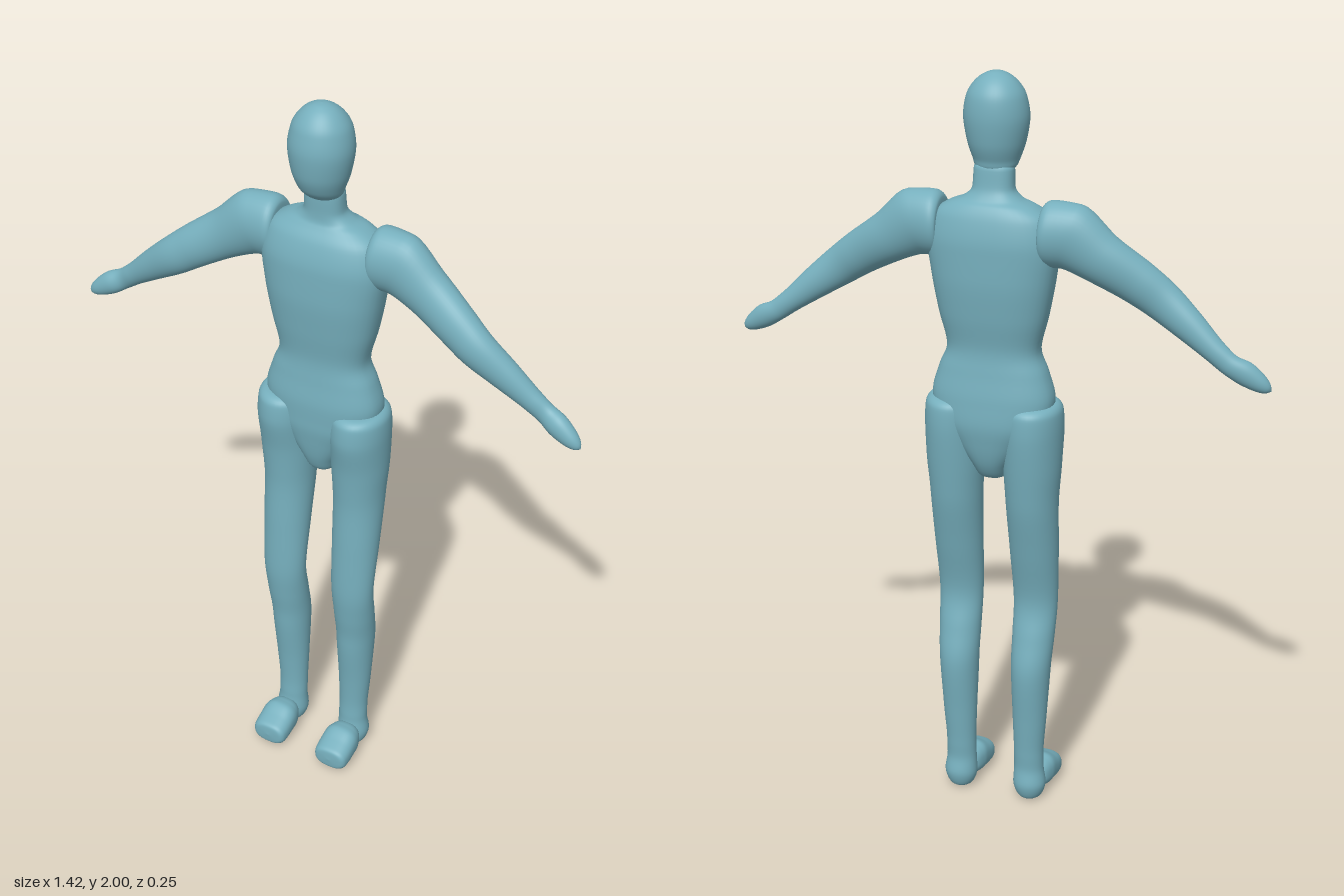
import * as THREE from 'three';

// Monotone cubic interpolation of one column of the section table
function sample(rows, col, t) {
  const last = rows.length - 1;
  const i = Math.min(Math.floor(t), last - 1), f = t - i;
  const v = k => rows[k][col];
  const slope = k => {
    if (k === 0 || k === last) return k ? v(k) - v(k - 1) : v(1) - v(0);
    const a = v(k) - v(k - 1), b = v(k + 1) - v(k);
    return a * b <= 0 ? 0 : (2 * a * b) / (a + b);
  };
  const f2 = f * f, f3 = f2 * f;
  return (2 * f3 - 3 * f2 + 1) * v(i) + (f3 - 2 * f2 + f) * slope(i)
    + (3 * f2 - 2 * f3) * v(i + 1) + (f3 - f2) * slope(i + 1);
}

// Skin rounded sections. Row: centre x, y, z, half-size along u, half-size along v, tilt.
// axes(tilt) gives u and v, with u x v pointing along the loft. side = -1 mirrors in x.
function loft(rows, axes, side = 1, power = 2) {
  const steps = 6, seg = 40, rings = (rows.length - 1) * steps;
  const pos = [], index = [];
  const round = c => Math.sign(c) * Math.abs(c) ** (2 / power);
  for (let i = 0; i <= rings; i++) {
    const [x, y, z, a, b, tilt] = [0, 1, 2, 3, 4, 5].map(c => sample(rows, c, i / steps));
    const [u, v] = axes(tilt);
    for (let j = 0; j < seg; j++) {
      const th = (j / seg) * Math.PI * 2;
      const p = new THREE.Vector3(x, y, z)
        .addScaledVector(u, a * round(Math.cos(th)))
        .addScaledVector(v, b * round(Math.sin(th)));
      pos.push(p.x * side, p.y, p.z);
      if (i === rings) continue;
      const k = (j + 1) % seg;
      const A = i * seg + j, B = i * seg + k, C = B + seg, D = A + seg;
      if (side > 0) index.push(A, B, C, A, C, D);
      else index.push(A, C, B, A, D, C);
    }
  }
  const g = new THREE.BufferGeometry();
  g.setAttribute('position', new THREE.Float32BufferAttribute(pos, 3));
  g.setIndex(index);
  g.computeVertexNormals();
  return g;
}

const X = new THREE.Vector3(1, 0, 0), Y = new THREE.Vector3(0, 1, 0), Z = new THREE.Vector3(0, 0, 1);
const upright = () => [Z, X];
const forward = () => [X, Y];
const sideways = t => [Z, new THREE.Vector3(-Math.sin(t), -Math.cos(t), 0)];

// Upright section: height, centre x, half-width, back z, front z
const level = ([y, cx, w, back, front]) => [cx, y, (back + front) / 2, (front - back) / 2, w, 0];

export function createModel() {
  const model = new THREE.Group();
  model.name = 'mannequin';
  const skin = new THREE.MeshStandardMaterial({ color: 0x76afbd });
  skin.name = 'dusty teal';
  const add = (name, geometry) => {
    const mesh = new THREE.Mesh(geometry, skin);
    mesh.name = name;
    model.add(mesh);
  };

  // Head, narrowing to the chin
  add('head', loft([
    [1.755, 0, 0, -0.02, -0.02], [1.758, 0, 0.035, -0.05, 0.012], [1.77, 0, 0.052, -0.062, 0.03],
    [1.79, 0, 0.06, -0.067, 0.046], [1.83, 0, 0.073, -0.08, 0.061], [1.89, 0, 0.082, -0.087, 0.067],
    [1.94, 0, 0.074, -0.082, 0.058], [1.97, 0, 0.057, -0.066, 0.042], [1.99, 0, 0.034, -0.043, 0.02],
    [1.998, 0, 0.014, -0.025, 0.003], [2, 0, 0, -0.011, -0.011],
  ].map(level), upright));

  // Torso from crotch to neck
  add('torso', loft([
    [0.955, 0, 0, -0.025, -0.025], [0.96, 0, 0.032, -0.065, 0.01], [1.0, 0, 0.055, -0.095, 0.032],
    [1.06, 0, 0.1, -0.112, 0.045], [1.12, 0, 0.148, -0.12, 0.052], [1.18, 0, 0.161, -0.116, 0.053],
    [1.25, 0, 0.143, -0.106, 0.046], [1.31, 0, 0.122, -0.1, 0.042], [1.4, 0, 0.142, -0.113, 0.052],
    [1.5, 0, 0.16, -0.122, 0.06], [1.58, 0, 0.17, -0.122, 0.058], [1.65, 0, 0.152, -0.11, 0.04],
    [1.68, 0, 0.112, -0.096, 0.02], [1.695, 0, 0.075, -0.082, 0.012], [1.72, 0, 0.053, -0.07, 0.01],
    [1.77, 0, 0.05, -0.063, 0.01], [1.79, 0, 0, -0.03, -0.03],
  ].map(level), upright, 1, 2.4));

  const leg = [
    [0.005, 0.1, 0, -0.022, -0.022], [0.008, 0.1, 0.028, -0.05, 0.008], [0.05, 0.1, 0.045, -0.065, 0.018],
    [0.1, 0.098, 0.041, -0.057, 0.012], [0.15, 0.098, 0.041, -0.06, 0.01], [0.25, 0.1, 0.046, -0.068, 0.015],
    [0.4, 0.102, 0.053, -0.08, 0.03], [0.5, 0.104, 0.057, -0.062, 0.042], [0.6, 0.105, 0.06, -0.042, 0.05],
    [0.75, 0.105, 0.065, -0.07, 0.046], [0.9, 0.104, 0.069, -0.1, 0.042], [1.0, 0.105, 0.075, -0.112, 0.05],
    [1.1, 0.106, 0.077, -0.12, 0.066], [1.15, 0.106, 0.074, -0.117, 0.062], [1.17, 0.106, 0.058, -0.095, 0.04],
    [1.175, 0.106, 0, -0.028, -0.028],
  ].map(level);

  // Foot sections run from the instep to the blunt toe
  const foot = [
    [0.1, 0.05, 0, 0, 0, 0], [0.1, 0.052, 0.008, 0.034, 0.034, 0], [0.1, 0.052, 0.03, 0.046, 0.045, 0],
    [0.1, 0.053, 0.05, 0.05, 0.047, 0], [0.1, 0.044, 0.085, 0.051, 0.041, 0], [0.1, 0.039, 0.11, 0.049, 0.036, 0],
    [0.1, 0.039, 0.122, 0.038, 0.026, 0], [0.1, 0.039, 0.125, 0, 0, 0],
  ];

  // Arm sections run from the shoulder cap to the fingertips
  const arm = [
    [0.13, 1.615, -0.04, 0, 0, 0], [0.132, 1.615, -0.04, 0.055, 0.068, 0], [0.15, 1.618, -0.04, 0.064, 0.083, 0.05],
    [0.2, 1.615, -0.038, 0.059, 0.085, 0.3], [0.28, 1.565, -0.032, 0.051, 0.066, 0.55],
    [0.37, 1.508, -0.014, 0.045, 0.057, 0.62], [0.43, 1.465, -0.006, 0.04, 0.051, 0.64],
    [0.5, 1.413, -0.014, 0.034, 0.041, 0.65], [0.57, 1.358, -0.024, 0.026, 0.03, 0.64],
    [0.605, 1.332, -0.027, 0.022, 0.028, 0.6], [0.64, 1.313, -0.021, 0.025, 0.031, 0.55],
    [0.68, 1.288, -0.016, 0.02, 0.023, 0.55], [0.7, 1.275, -0.014, 0.011, 0.012, 0.55],
    [0.708, 1.27, -0.013, 0, 0, 0.55],
  ];

  for (const [label, side] of [['left', 1], ['right', -1]]) {
    add(label + 'Leg', loft(leg, upright, side));
    add(label + 'Foot', loft(foot, forward, side, 2.5));
    add(label + 'Arm', loft(arm, sideways, side));
  }
  return model;
}
